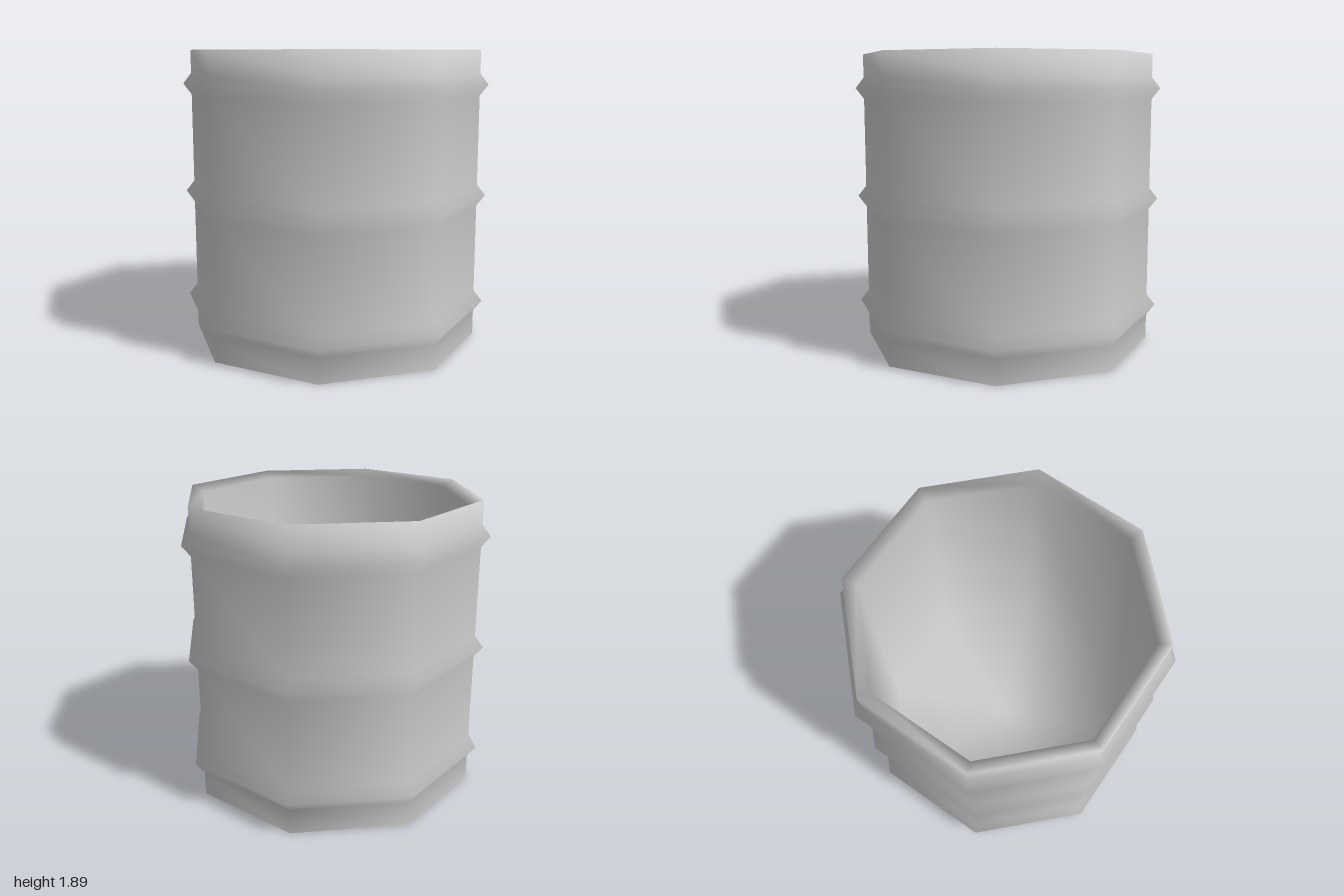
import * as THREE from 'three';

const SIDES = 8;
const WALL = 0.945, RIDGE = 1.0, INNER = 0.865;
const HEIGHT = 1.89, RIM_DIP = 0.04, RIDGE_HALF = 0.07;

export function createModel() {
  const group = new THREE.Group();
  group.name = 'barrel';
  const grey = new THREE.MeshStandardMaterial({ color: 0xcccccc, side: THREE.DoubleSide });
  grey.name = 'light grey';

  // Outer wall with three pointed ridges, open underneath
  const profile = [[WALL, 0]];
  for (const y of [0.23, 0.95, 1.67]) {
    profile.push([WALL, y - RIDGE_HALF], [RIDGE, y], [WALL, y + RIDGE_HALF]);
  }
  // Rim, inner wall and floor
  profile.push([WALL, HEIGHT], [INNER, HEIGHT - RIM_DIP], [INNER, 0.005], [0, 0.005]);

  const shell = new THREE.Mesh(
    new THREE.LatheGeometry(profile.map(([r, y]) => new THREE.Vector2(r, y)), SIDES),
    grey
  );
  shell.name = 'barrelShell';
  group.add(shell);
  return group;
}
